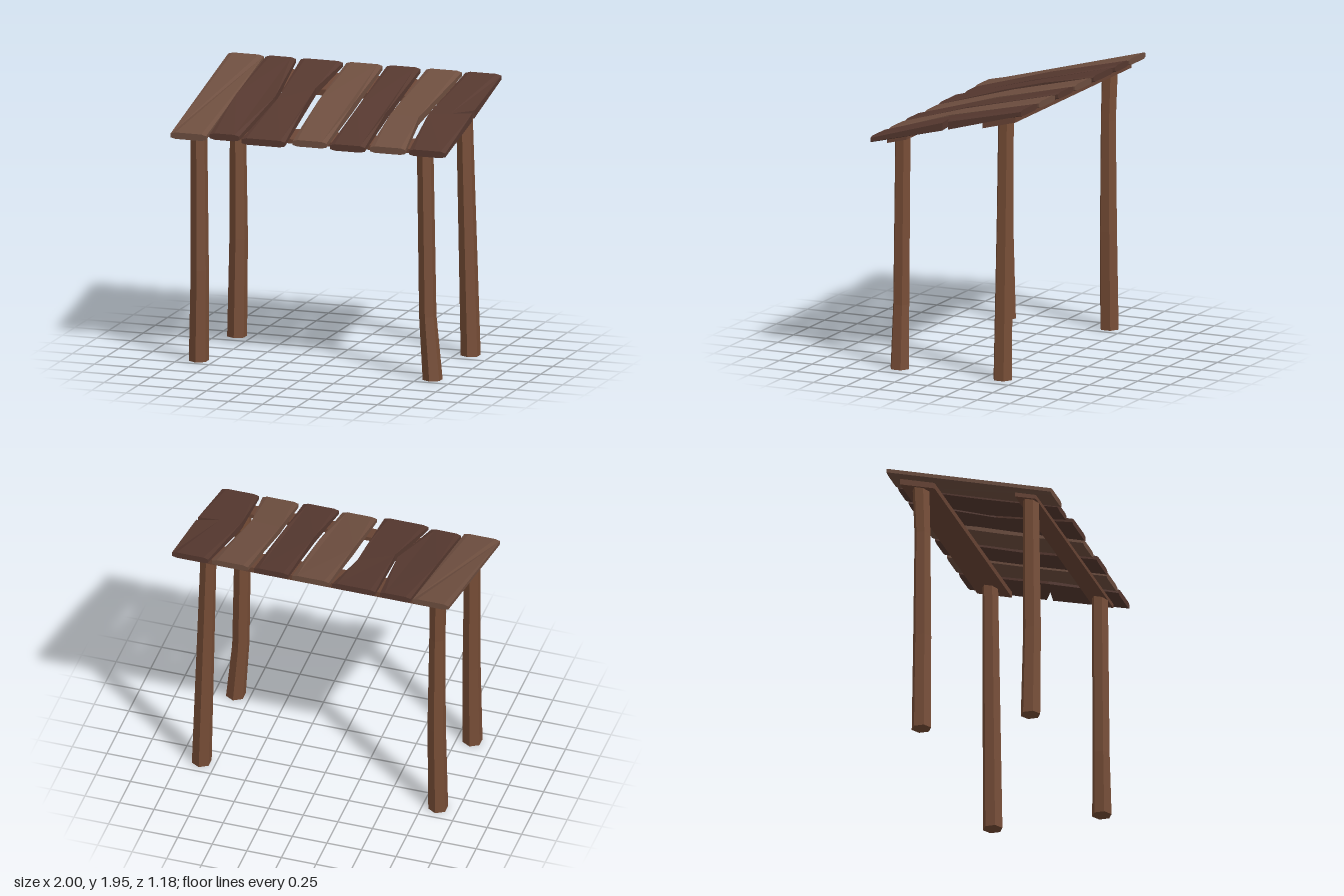
import * as THREE from 'three';

const THICK = 0.046, SLOPE = 0.259, BACK = -0.595;
const roofUnderside = (z) => 1.753 - SLOPE * z;

const wood = (color) => new THREE.MeshStandardMaterial({ color, flatShading: true });
const lightWood = wood(0x6f4f40);
const darkWood = wood(0x573930);
const postWood = wood(0x774d36);
const beamWood = wood(0x6b4636);

function addMesh(group, name, geometry, material) {
  const mesh = new THREE.Mesh(geometry, material);
  mesh.name = name;
  group.add(mesh);
}

// Plank: left and right edges are lists of [x, z] running back to front;
// its end corners are worn down and its middle bows up a little.
function plankGeometry(left, right) {
  const inset = 0.035;
  const [backL, frontL] = [left[0], left[left.length - 1]];
  const [backR, frontR] = [right[0], right[right.length - 1]];
  const outline = [
    ...left,
    [frontL[0] + inset, frontL[1]], [frontR[0] - inset, frontR[1]],
    ...[...right].reverse(),
    [backR[0] - inset, backR[1]], [backL[0] + inset, backL[1]],
  ];
  const shape = new THREE.Shape(outline.map(([x, z]) => new THREE.Vector2(x, -z)));
  const geometry = new THREE.ExtrudeGeometry(shape, { depth: THICK, bevelEnabled: false });
  geometry.rotateX(-Math.PI / 2);
  const corners = [backL, frontL, backR, frontR];
  const p = geometry.attributes.position;
  for (let i = 0; i < p.count; i++) {
    const x = p.getX(i), z = p.getZ(i);
    let y = p.getY(i);
    const isTop = y > THICK / 2;
    if (corners.some((c) => Math.hypot(c[0] - x, c[1] - z) < 1e-4)) y += isTop ? -0.01 : 0.009;
    else if (isTop && Math.abs(z) < 0.3) y += 0.009;
    p.setY(i, y + roofUnderside(z));
  }
  geometry.computeVertexNormals();
  return geometry;
}

// Cross beam lying against the underside of the sloping roof
function beamGeometry(z0, z1, thickness) {
  const geometry = new THREE.BoxGeometry(1.86, thickness, z1 - z0);
  geometry.translate(0, -thickness / 2, (z0 + z1) / 2);
  const p = geometry.attributes.position;
  for (let i = 0; i < p.count; i++) p.setY(i, p.getY(i) + roofUnderside(p.getZ(i)));
  geometry.computeVertexNormals();
  return geometry;
}

// Six-sided post following stations of [y, x, z, radius], bottom to top
function postGeometry(stations) {
  const n = stations.length - 1;
  const geometry = new THREE.CylinderGeometry(1, 1, 1, 6, n);
  const p = geometry.attributes.position;
  for (let i = 0; i < p.count; i++) {
    const [y, x, z, r] = stations[Math.round((p.getY(i) + 0.5) * n)];
    p.setXYZ(i, x + p.getX(i) * r, y, z + p.getZ(i) * r);
  }
  geometry.computeVertexNormals();
  return geometry;
}

export function createModel() {
  const model = new THREE.Group();

  // Roof planks, from right to left
  const planks = [
    [lightWood, [[-1, BACK], [-1, 0.587]], [[-0.74, BACK], [-0.74, 0.587]]],
    [darkWood, [[-0.725, BACK], [-0.73, 0], [-0.725, 0.555]],
      [[-0.505, BACK], [-0.447, -0.01], [-0.51, 0.555]]],
    [darkWood, [[-0.47, BACK], [-0.42, 0.02], [-0.48, 0.587]],
      [[-0.16, BACK], [-0.21, -0.18], [-0.195, 0.1], [-0.163, 0.587]]],
    [lightWood, [[-0.135, BACK], [-0.128, 0], [-0.118, 0.555]],
      [[0.13, BACK], [0.13, 0], [0.13, 0.555]]],
    [darkWood, [[0.16, BACK], [0.175, 0.05], [0.16, 0.57]],
      [[0.407, BACK], [0.4, 0.1], [0.416, 0.57]]],
    [lightWood, [[0.45, BACK], [0.437, 0.1], [0.447, 0.555]],
      [[0.71, BACK], [0.648, 0.12], [0.707, 0.555]]],
    // The last plank has a split in its outer edge
    [darkWood, [[0.737, BACK], [0.7, 0.06], [0.735, 0.555]],
      [[1, BACK], [1, -0.04], [0.85, 0.03], [1, 0.005], [1, 0.555]]],
  ];
  const roof = new THREE.Group();
  roof.name = 'roofPlanks';
  planks.forEach(([material, left, right], i) =>
    addMesh(roof, `plank${i + 1}`, plankGeometry(left, right), material));
  model.add(roof);

  // Beams under the planks
  addMesh(model, 'frontBeam', beamGeometry(0.31, 0.46, 0.03), beamWood);
  addMesh(model, 'backBeam', beamGeometry(-0.52, -0.27, 0.042), beamWood);

  // Crooked posts
  const posts = {
    frontLeftPost: [[0, 0.852, 0.4, 0.07], [0.45, 0.818, 0.405, 0.061], [1.63, 0.798, 0.402, 0.058]],
    frontRightPost: [[0, -0.86, 0.4, 0.07], [0.65, -0.85, 0.408, 0.064], [1.63, -0.858, 0.402, 0.058]],
    backLeftPost: [[0, 0.85, -0.385, 0.07], [1.82, 0.8, -0.388, 0.057]],
    backRightPost: [[0, -0.86, -0.385, 0.07], [0.7, -0.848, -0.383, 0.065],
      [1.48, -0.852, -0.38, 0.057], [1.82, -0.86, -0.388, 0.06]],
  };
  for (const [name, stations] of Object.entries(posts)) {
    addMesh(model, name, postGeometry(stations), postWood);
  }

  return model;
}
